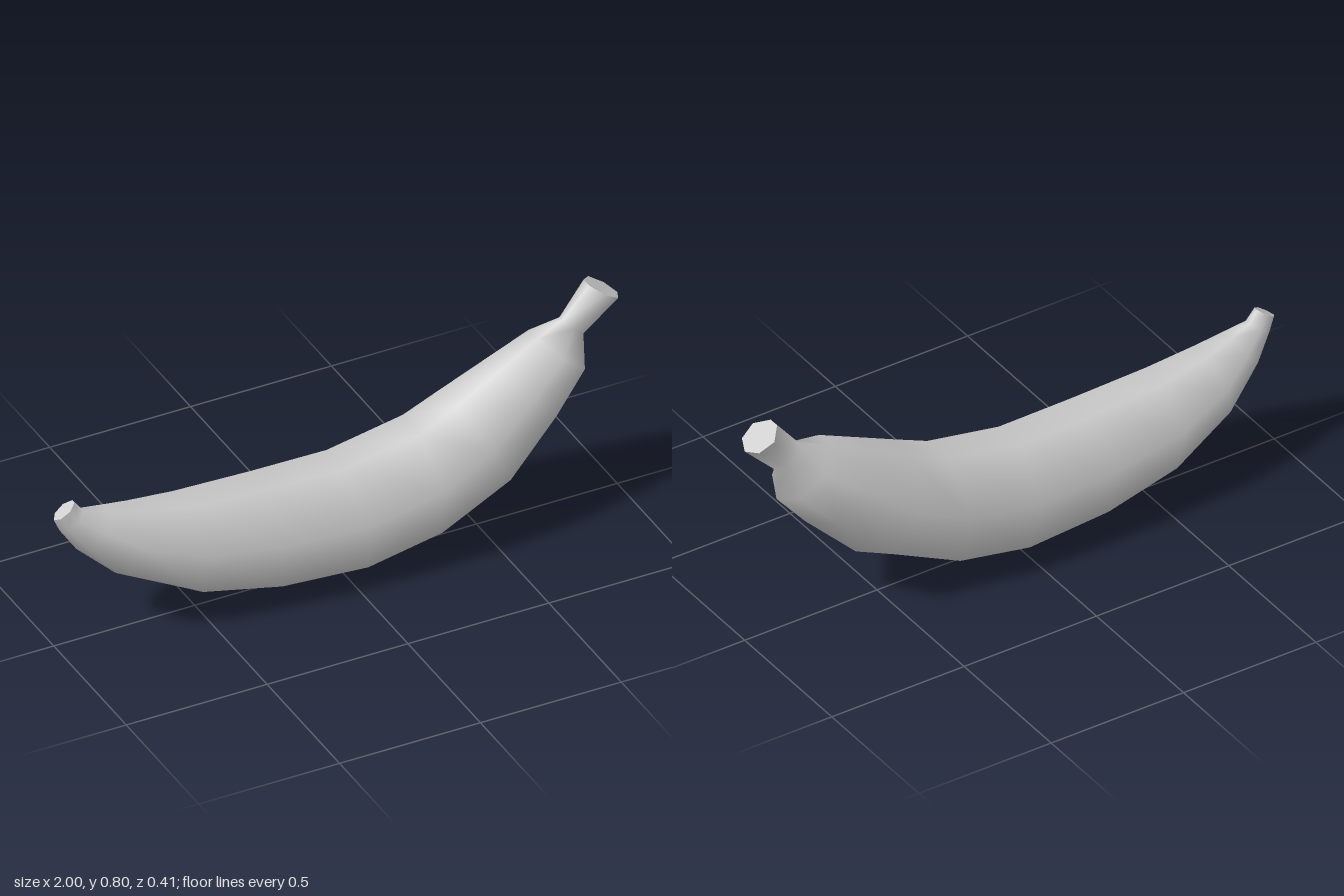
import * as THREE from 'three';

// Stations from blossom tip to stem: bottom x, bottom y, top x, top y, half width
const STATIONS = [
  [-1.0, 0.48, -0.93, 0.53, 0.025],
  [-0.98, 0.435, -0.9, 0.49, 0.035],
  [-0.92, 0.345, -0.82, 0.47, 0.075],
  [-0.78, 0.21, -0.72, 0.445, 0.13],
  [-0.54, 0.08, -0.55, 0.42, 0.175],
  [-0.27, 0.02, -0.27, 0.405, 0.2],
  [0.04, 0.0, 0.0, 0.4, 0.207],
  [0.3, 0.05, 0.27, 0.45, 0.207],
  [0.58, 0.18, 0.4, 0.51, 0.19],
  [0.77, 0.37, 0.55, 0.585, 0.145],
  [0.88, 0.5, 0.7, 0.66, 0.1],
  [0.88, 0.61, 0.8, 0.69, 0.032],
  [1.0, 0.73, 0.89, 0.8, 0.062],
];

// Keeled cross-section: [fraction of half width, fraction from bottom to top]
const SECTION = [[0, 0], [0.8, 0.2], [1, 0.65], [0.3, 1], [-0.3, 1], [-1, 0.65], [-0.8, 0.2]];
const N = SECTION.length;

function ring([bx, by, tx, ty, w]) {
  return SECTION.flatMap(([side, up]) => [bx + (tx - bx) * up, by + (ty - by) * up, side * w]);
}

function makeMesh(name, positions, index, material) {
  const geometry = new THREE.BufferGeometry();
  geometry.setAttribute('position', new THREE.Float32BufferAttribute(positions, 3));
  geometry.setIndex(index);
  geometry.computeVertexNormals();
  const mesh = new THREE.Mesh(geometry, material);
  mesh.name = name;
  return mesh;
}

// Flat end face, a fan over one ring
function makeCap(name, station, facesStem, material) {
  const index = [];
  for (let i = 1; i < N - 1; i++) {
    if (facesStem) index.push(0, i + 1, i);
    else index.push(0, i, i + 1);
  }
  return makeMesh(name, ring(station), index, material);
}

export function createModel() {
  const group = new THREE.Group();
  group.name = 'banana';
  const material = new THREE.MeshStandardMaterial({ color: 0xcccccc });

  // Smooth curved peel running into the stem
  const index = [];
  for (let s = 0; s < STATIONS.length - 1; s++) {
    for (let i = 0; i < N; i++) {
      const j = (i + 1) % N;
      const a = s * N + i, b = a + N, c = s * N + j, d = c + N;
      index.push(a, b, c, b, d, c);
    }
  }
  group.add(makeMesh('peelAndStem', STATIONS.flatMap(ring), index, material));

  // End faces
  group.add(makeCap('blossomEnd', STATIONS[0], false, material));
  group.add(makeCap('stemEnd', STATIONS[STATIONS.length - 1], true, material));
  return group;
}
